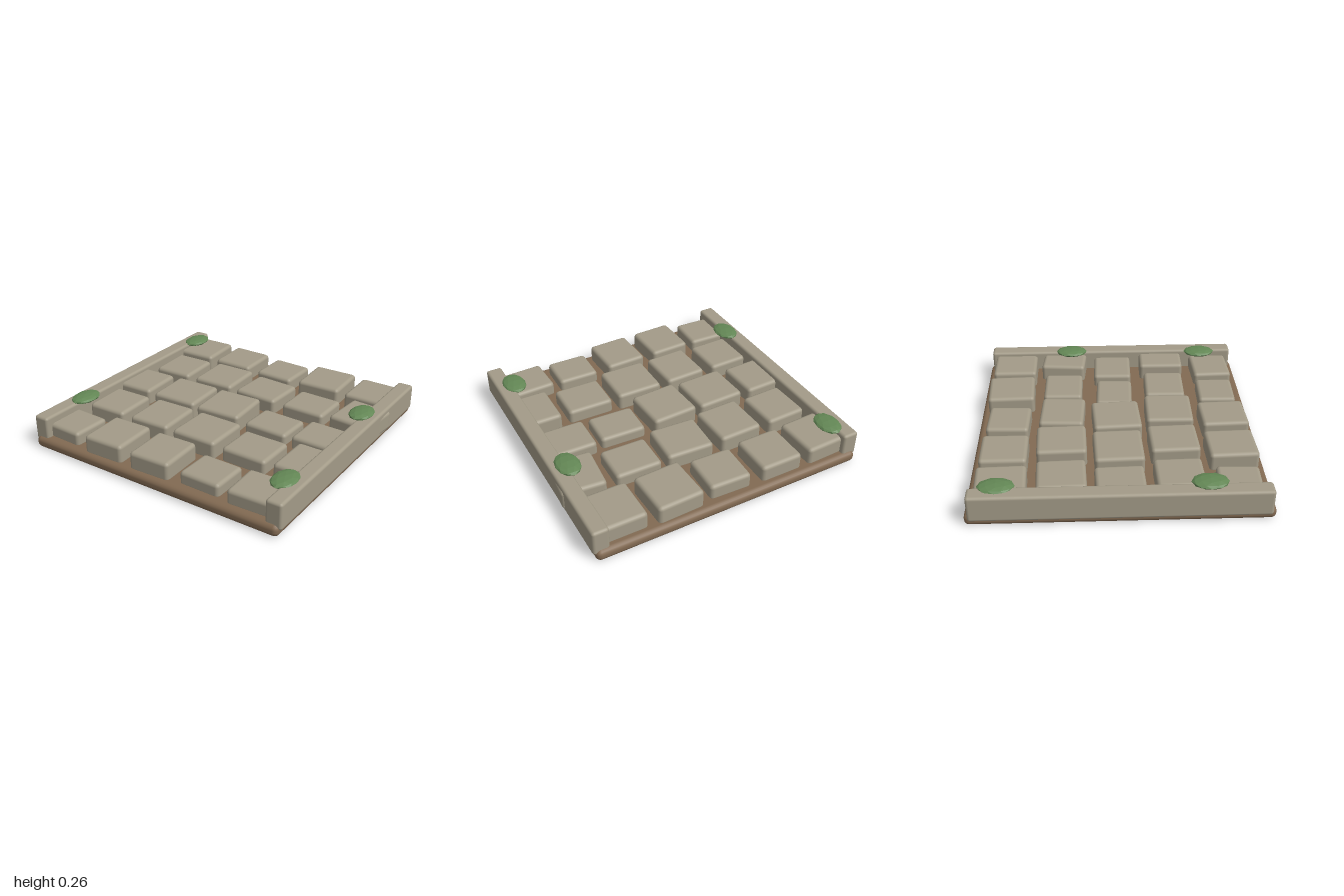
import * as THREE from 'three';
import { RoundedBoxGeometry } from 'three/addons/geometries/RoundedBoxGeometry.js';

const material = (name, color) => {
  const m = new THREE.MeshStandardMaterial({ color });
  m.name = name;
  return m;
};

// Paving rows: [x, z, width, depth, turn in degrees], in hundredths of a unit
const ROWS = [
  [[-77.5, -76, 32, 33, 2], [-40.6, -76.5, 31, 32, 0], [-2.2, -76, 30, 30, -2], [36.4, -76.5, 33, 34, 2], [75, -76, 32, 33, 0]],
  [[-71, -37.5, 30, 32.5, 2], [-32.6, -38, 32, 34, 1.5], [5.4, -38, 34, 31.5, -3], [43.9, -38, 33, 28.5, -1], [82.7, -37.5, 30.5, 33.5, -5]],
  [[-79.7, 0.5, 31.5, 32.5, 2], [-40.6, 0.5, 35, 33.5, 2], [-2.5, 0.5, 34, 34, 3], [35.9, 0.3, 33, 26.5, -2], [73.3, 0, 33, 28.5, -1]],
  [[-71.5, 39, 30, 32, 1.5], [-33, 38.6, 31, 33.5, 2], [5.4, 38.6, 34.2, 33.5, -0.5], [43.9, 38.6, 33.5, 29.5, -1], [82, 38.6, 29.5, 33.5, -0.5]],
  [[-79, 77, 31, 28.5, -2], [-40.6, 77, 30.5, 33.5, 2], [-2.2, 77, 30.5, 33, 2], [35.9, 77, 30, 27.3, -1], [73.3, 77.5, 33, 29, 2]],
];

export function createModel() {
  const model = new THREE.Group();
  model.name = 'pavedPath';
  const earth = material('earth', 0x826a52);
  const stone = material('stone', 0xa39b88);
  const moss = material('moss', 0x638755);
  moss.flatShading = true;

  const block = (name, mat, w, d, y0, y1, x, z, radius) => {
    const mesh = new THREE.Mesh(new RoundedBoxGeometry(w, y1 - y0, d, 2, radius), mat);
    mesh.position.set(x, (y0 + y1) / 2, z);
    mesh.name = name;
    model.add(mesh);
    return mesh;
  };

  // Earth bed
  block('earthBed', earth, 1.95, 1.96, 0, 0.082, -0.01, 0, 0.036);

  // Curbs along both sides
  block('rightCurb', stone, 0.115, 1.91, 0.045, 0.23, -0.943, 0, 0.02);
  block('leftCurb', stone, 0.115, 1.91, 0.045, 0.23, 0.922, 0, 0.02);

  // Paving stones, the larger ones standing higher
  ROWS.forEach((row, r) => row.forEach(([x, z, w, d, turn], c) => {
    const top = 0.165 + (d - 27) * 0.0058;
    const paver = block(`pavingStone${r + 1}_${c + 1}`, stone, w / 100, d / 100, 0.06, top, x / 100, z / 100, 0.027);
    paver.rotation.y = THREE.MathUtils.degToRad(turn);
  }));

  // Moss clumps on the curbs
  const clump = new THREE.IcosahedronGeometry(1, 1);
  [[-0.877, 0.228, -0.775], [-0.888, 0.24, 0.56], [0.85, 0.228, 0.7], [0.861, 0.238, -0.32]].forEach(([x, y, z], i) => {
    const mesh = new THREE.Mesh(clump, moss);
    mesh.position.set(x, y, z);
    mesh.scale.set(0.084, 0.025, 0.12);
    mesh.name = `mossClump${i + 1}`;
    model.add(mesh);
  });

  return model;
}
